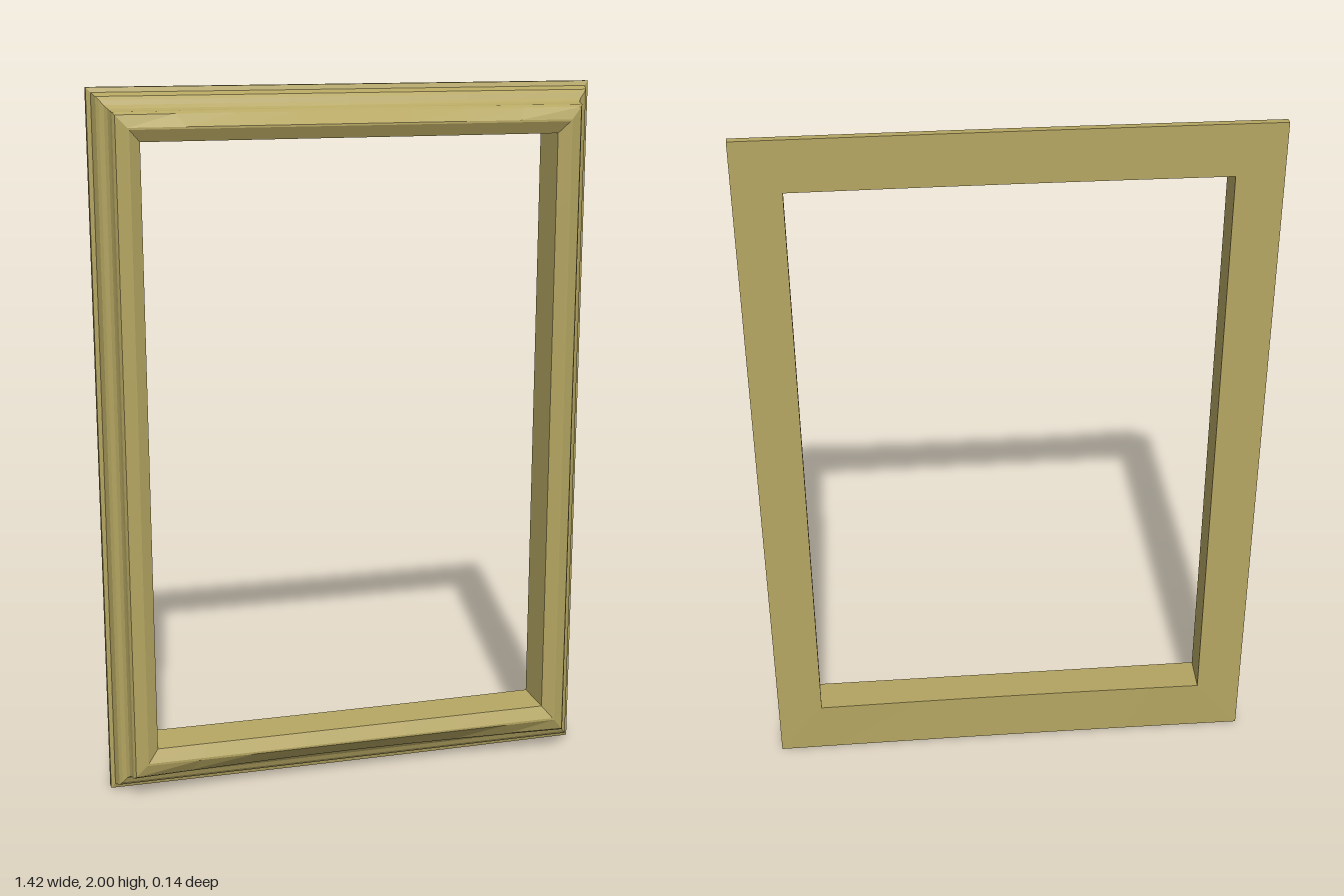
import * as THREE from 'three';

// Moulding cross-section: [inset from outer edge, z at the corners, z shift at mid-rail]
const profile = [
  [0, -0.07, 0.004],
  [0, -0.048, 0.004],
  [0.012, -0.043, 0.003],
  [0.015, -0.03, 0],
  [0.02, -0.012, 0],
  [0.028, -0.004, 0],
  [0.04, 0.002, 0],
  [0.048, 0.012, -0.003],
  [0.052, 0.028, -0.012],
  [0.054, 0.046, -0.024],
  [0.06, 0.056, -0.026],
  [0.09, 0.067, 0],
  [0.095, 0.067, 0],
  [0.125, 0.05, 0],
  [0.13, -0.07, 0.004],
];

// Mitred corners, counter-clockwise from the lower one on the -x side.
// Top and bottom rails are a little wider than the stiles.
const corners = [[-1, -1], [1, -1], [1, 1], [-1, 1]];
const cornerPoint = ([sx, sy], inset) => [
  sx * (0.71 - inset),
  sy > 0 ? 2 - inset * 1.1 : inset * 1.2,
];

// Sweep the cross-section from one mitre to the next
function makeRail(name, from, to, bowed, material) {
  const steps = 8;
  const positions = [];
  const point = (i, j) => {
    const [inset, z, shift] = profile[j % profile.length];
    const t = i / steps;
    const a = cornerPoint(from, inset);
    const b = cornerPoint(to, inset);
    const bow = bowed ? Math.sin(Math.PI * t) : 0;
    return [a[0] + (b[0] - a[0]) * t, a[1] + (b[1] - a[1]) * t, z + shift * bow];
  };
  for (let i = 0; i < steps; i++) {
    for (let j = 0; j < profile.length; j++) {
      const a = point(i, j), b = point(i + 1, j);
      const c = point(i + 1, j + 1), d = point(i, j + 1);
      positions.push(...a, ...b, ...c, ...a, ...c, ...d);
    }
  }
  const geometry = new THREE.BufferGeometry();
  geometry.setAttribute('position', new THREE.Float32BufferAttribute(positions, 3));
  geometry.computeVertexNormals();
  const mesh = new THREE.Mesh(geometry, material);
  mesh.name = name;
  return mesh;
}

export function createModel() {
  const group = new THREE.Group();
  group.name = 'pictureFrame';
  const gilt = new THREE.MeshStandardMaterial({ color: 0xb5a662, flatShading: true });
  const names = ['bottomRail', 'leftStile', 'topRail', 'rightStile'];
  names.forEach((name, k) => {
    group.add(makeRail(name, corners[k], corners[(k + 1) % 4], k % 2 === 0, gilt));
  });
  return group;
}
